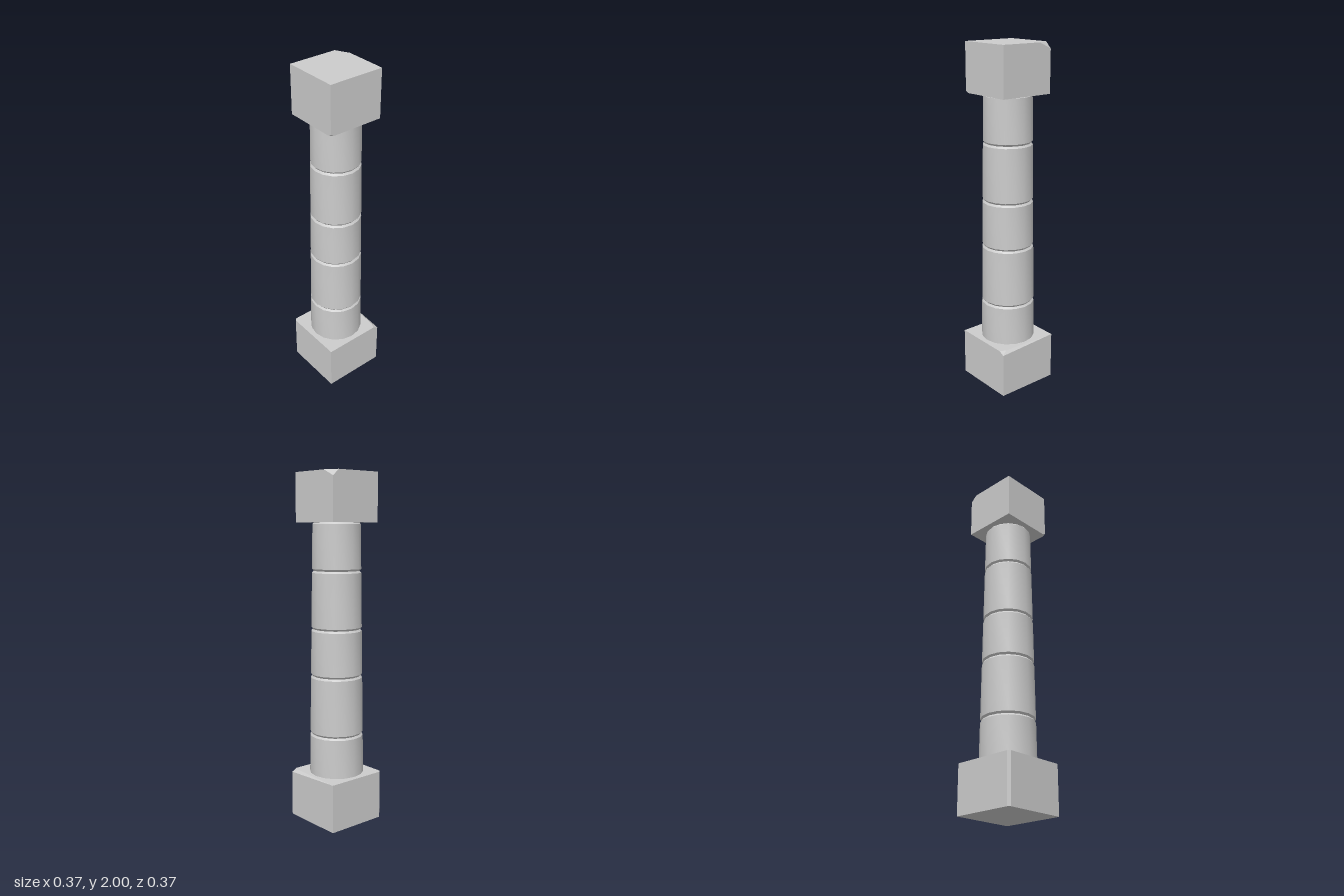
import * as THREE from 'three';
import { ConvexGeometry } from 'three/addons/geometries/ConvexGeometry.js';
import { toCreasedNormals } from 'three/addons/utils/BufferGeometryUtils.js';

const material = new THREE.MeshStandardMaterial({ color: 0xcccccc });
const flatMaterial = new THREE.MeshStandardMaterial({ color: 0xcccccc, flatShading: true });

// A convex stone block from its corners, chips included
function block(name, corners) {
  const points = corners.map((c) => new THREE.Vector3(...c));
  const mesh = new THREE.Mesh(new ConvexGeometry(points), flatMaterial);
  mesh.name = name;
  return mesh;
}

// Shaft radius tapers evenly with height
const radiusAt = (y) => THREE.MathUtils.mapLinear(y, 0.28, 1.725, 0.157, 0.136);

// One drum of the shaft with bevelled rims
function drum(bottom, top, bevelBottom) {
  const bevel = 0.011, inset = 0.009;
  const profile = [];
  if (bevelBottom) profile.push([radiusAt(bottom) - inset, bottom]);
  const low = bevelBottom ? bottom + bevel : bottom;
  profile.push([radiusAt(low), low]);
  profile.push([radiusAt(top - bevel), top - bevel]);
  profile.push([radiusAt(top) - inset, top]);
  const lathe = new THREE.LatheGeometry(profile.map(([r, y]) => new THREE.Vector2(r, y)), 16);
  return new THREE.Mesh(toCreasedNormals(lathe, 0.45), material);
}

export function createModel() {
  const model = new THREE.Group();
  model.name = 'column';

  // Base block: one trimmed upright edge, worn top edge and corner
  const b = 0.187, bt = 0.28, cut = 0.013;
  const base = [
    [b, 0, b], [-b, 0, b], [b, 0, -b],
    [-b, bt, b], [b, bt, -b],
    [0.169, bt, 0.15], [0.155, bt, b], [b, 0.263, b],
  ];
  for (const y of [0, bt]) base.push([-b + cut, y, -b], [-b, y, -b + cut]);
  model.add(block('base', base));

  // Shaft of stacked drums
  const shaft = new THREE.Group();
  shaft.name = 'shaft';
  const joints = [0.28, 0.515, 0.857, 1.127, 1.457, 1.727];
  for (let i = 0; i < joints.length - 1; i++) {
    const d = drum(joints[i], joints[i + 1], i > 0);
    d.name = `drum${i + 1}`;
    shaft.add(d);
  }
  model.add(shaft);

  // Top block: large chip at a top corner, small chip at a bottom corner
  const c = 0.162, low = 1.725, high = 2;
  model.add(block('capital', [
    [c, low, c], [c, low, -c], [-c, low, -c],
    [-c, high, c], [c, high, c], [-c, high, -c],
    [0.124, high, -c], [c, high, -0.085], [c, 1.965, -c],
    [-0.143, low, c], [-c, 1.737, c], [-c, low, 0.14],
  ]));

  return model;
}
